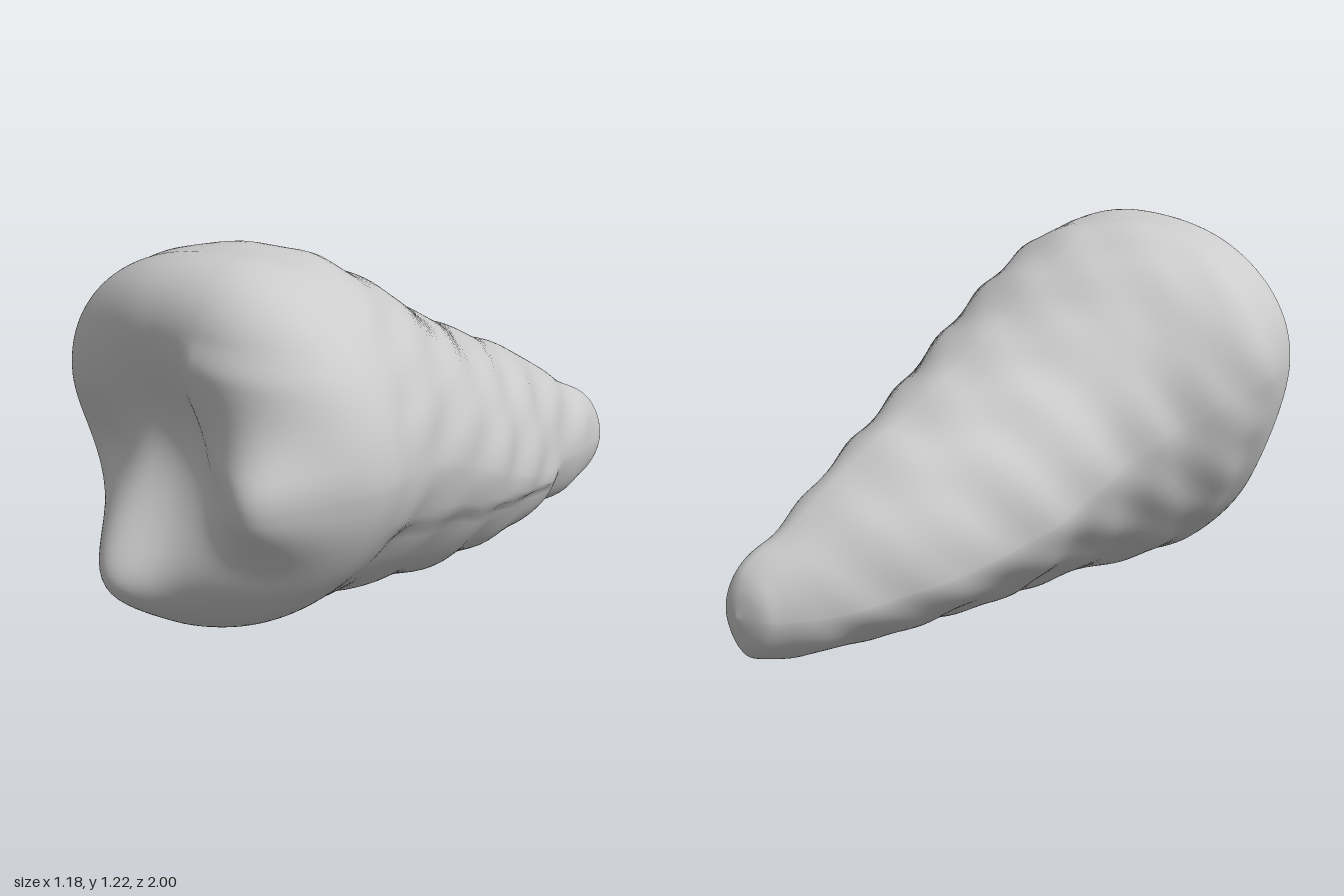
import * as THREE from 'three';
import { mergeVertices } from 'three/addons/utils/BufferGeometryUtils.js';

// Stations from tail to rim: z, then left (x, y), right (x, y), top (x, y), bottom (x, y)
const STATIONS = [
  [-1.0, 0.38, 0.20, 0.38, 0.20, 0.38, 0.20, 0.38, 0.20],
  [-0.98, 0.29, 0.20, 0.44, 0.20, 0.38, 0.29, 0.38, 0.10],
  [-0.93, 0.23, 0.20, 0.47, 0.20, 0.38, 0.36, 0.38, 0.045],
  [-0.8, 0.09, 0.22, 0.48, 0.21, 0.32, 0.45, 0.36, 0.02],
  [-0.6, -0.07, 0.28, 0.49, 0.24, 0.26, 0.60, 0.33, 0.015],
  [-0.4, -0.18, 0.34, 0.54, 0.28, 0.21, 0.71, 0.30, 0.012],
  [-0.2, -0.27, 0.42, 0.56, 0.36, 0.17, 0.82, 0.25, 0.005],
  [0.0, -0.32, 0.52, 0.58, 0.45, 0.13, 0.94, 0.18, 0.008],
  [0.2, -0.42, 0.63, 0.565, 0.55, 0.08, 1.09, 0.10, 0.02],
  [0.4, -0.575, 0.75, 0.56, 0.62, 0.05, 1.195, 0.00, 0.035],
  [0.6, -0.58, 0.77, 0.575, 0.66, 0.03, 1.22, -0.07, 0.035],
];

// Lobes and hollows of the front face: x, y, height, radius
const LOBES = [
  [-0.2, 0.27, 0.20, 0.14],
  [0.32, 0.62, 0.16, 0.12],
  [0.18, 0.97, 0.06, 0.20],
  [0.1, 0.38, 0.12, 0.16],
  [-0.16, 0.68, -0.08, 0.17],
  [-0.44, 0.54, -0.08, 0.11],
];

const AROUND = 112, ALONG = 84, CAP = 44;
const { smoothstep } = THREE.MathUtils;

const columns = STATIONS[0].slice(1).map((_, k) =>
  new THREE.SplineCurve(STATIONS.map(s => new THREE.Vector2(s[0], s[k + 1]))));

// One point of the cross-section: four superellipse quadrants between the extremes
function sectionPoint(t, angle) {
  const pts = columns.map(c => c.getPoint(t));
  const [lx, ly, rx, ry, tx, ty, bx, by] = pts.map(p => p.y);
  const c = Math.cos(angle), s = Math.sin(angle);
  const east = c >= 0, north = s >= 0;
  const e = north ? (east ? 1.06 : 0.93) : (east ? 1.2 : 1.22);
  const sideX = east ? rx : lx, sideY = east ? ry : ly;
  const endX = north ? tx : bx, endY = north ? ty : by;
  return new THREE.Vector3(
    endX + (sideX - endX) * Math.abs(c) ** e,
    sideY + (endY - sideY) * Math.abs(s) ** e,
    pts[0].x);
}

// Shallow lumps, and a low ledge along the +x flank
function weather(p, angle) {
  const fade = smoothstep(p.z, -0.98, -0.8) * (1 - smoothstep(p.z, 0.45, 0.6));
  const lump = 0.005 * Math.sin(p.z * 23 + p.y * 9 + 2 * Math.sin(p.x * 8))
    + 0.003 * Math.sin(p.y * 27 - p.x * 21 + p.z * 12);
  p.x += lump * fade * Math.cos(angle);
  p.y += lump * fade * Math.sin(angle);
  const ledge = 0.5 - (0.8 - p.z) * 0.22;
  p.x -= 0.014 * fade * smoothstep(ledge - p.y, 0, 0.025) * smoothstep(p.y, 0.02, 0.2)
    * smoothstep(p.x, 0.25, 0.45) * smoothstep(p.z, -0.5, -0.45);
  return p;
}

function faceHeight(x, y) {
  let h = 0.8 - 0.04 * smoothstep(-x, 0.2, 0.5);
  for (const [cx, cy, height, r] of LOBES) {
    h += height * Math.exp(-((x - cx) ** 2 + (y - cy) ** 2) / (2 * r * r));
  }
  // Slight step between the hollow and the right lobe
  const edge = -0.01 + 0.5 * Math.max(0, 0.86 - y);
  return h + 0.02 * smoothstep(x, edge - 0.03, edge + 0.03)
    * smoothstep(y, 0.6, 0.72) * (1 - smoothstep(y, 0.95, 1.05));
}

function bodyGeometry() {
  const positions = [], index = [];
  // Tapering body
  for (let i = 0; i <= ALONG; i++) {
    for (let j = 0; j < AROUND; j++) {
      const angle = j / AROUND * Math.PI * 2;
      const p = weather(sectionPoint(i / ALONG, angle), angle);
      positions.push(p.x, p.y, p.z);
    }
  }
  // Lobed front face: the rim shrinks to its centre over the height field
  for (let i = 1; i <= CAP; i++) {
    const s = Math.cos(i / CAP * Math.PI / 2);
    for (let j = 0; j < AROUND; j++) {
      const rim = sectionPoint(1, j / AROUND * Math.PI * 2);
      const x = rim.x * s, y = 0.6 + (rim.y - 0.6) * s;
      const rise = Math.max(0, 1 - s ** 6) ** 0.5;
      positions.push(x, y, Math.min(1, 0.6 + (faceHeight(x, y) - 0.6) * rise));
    }
  }
  for (let i = 0; i < ALONG + CAP; i++) {
    for (let j = 0; j < AROUND; j++) {
      const k = (j + 1) % AROUND, a = i * AROUND, b = a + AROUND;
      index.push(a + j, a + k, b + k, a + j, b + k, b + j);
    }
  }
  const geometry = new THREE.BufferGeometry();
  geometry.setAttribute('position', new THREE.Float32BufferAttribute(positions, 3));
  geometry.setIndex(index);
  const merged = mergeVertices(geometry, 1e-5);
  merged.computeVertexNormals();
  return merged;
}

export function createModel() {
  const group = new THREE.Group();
  group.name = 'taperedRock';
  const body = new THREE.Mesh(bodyGeometry(), new THREE.MeshStandardMaterial({ color: 0xcccccc }));
  body.name = 'rockBody';
  group.add(body);
  return group;
}
